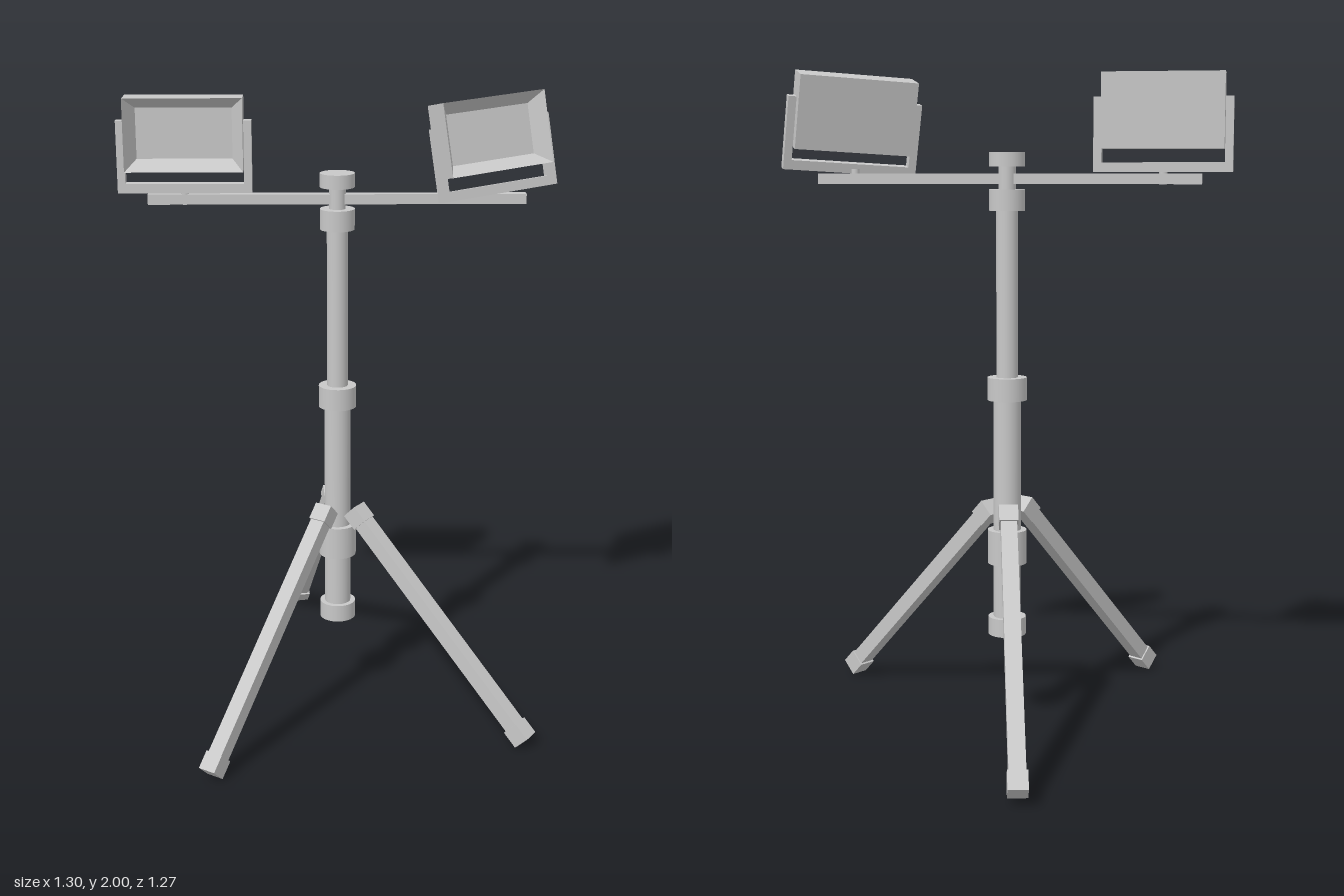
import * as THREE from 'three';

const rad = THREE.MathUtils.degToRad;
const POLE_X = -0.083, POLE_Z = -0.09;

export function createModel() {
  const model = new THREE.Group();
  model.name = 'workLightTripod';
  const grey = new THREE.MeshStandardMaterial({ color: 0xc8c8c8 });
  grey.name = 'light grey metal';

  function add(parent, name, geometry, x = 0, y = 0, z = 0) {
    const mesh = new THREE.Mesh(geometry, grey);
    mesh.name = name;
    mesh.position.set(x, y, z);
    parent.add(mesh);
    return mesh;
  }
  const box = (w, h, d) => new THREE.BoxGeometry(w, h, d);

  // Everything on the stand is placed around the pole axis
  const stand = new THREE.Group();
  stand.name = 'stand';
  stand.position.set(POLE_X, 0, POLE_Z);
  model.add(stand);

  // Telescopic pole and its collars: name, radius, bottom, top
  const poleParts = [
    ['bottomCap', 0.058, 0.28, 0.336],
    ['lowerPole', 0.042, 0.33, 1.02],
    ['legCollar', 0.06, 0.505, 0.61],
    ['lockCollar', 0.06, 1.013, 1.083],
    ['upperPole', 0.033, 1.08, 1.59],
    ['upperCollar', 0.054, 1.586, 1.65],
    ['neck', 0.026, 1.645, 1.725],
    ['topCap', 0.054, 1.717, 1.76],
  ];
  for (const [name, r, y0, y1] of poleParts) {
    add(stand, name, new THREE.CylinderGeometry(r, r, y1 - y0, 28), 0, (y0 + y1) / 2, 0);
  }

  // Legs: heading about y, hinge radius and height, foot radius and height
  const legs = [
    ['leftLeg', 0, 0.083, 0.652, 0.688, 0.045],
    ['frontLeg', -90, 0.083, 0.662, 0.688, 0.049],
    ['backRightLeg', 135, 0.095, 0.668, 0.69, 0.06],
  ];
  for (const [name, heading, r0, y0, r1, y1] of legs) {
    const turn = new THREE.Group();
    turn.name = name;
    turn.rotation.y = rad(heading);
    stand.add(turn);
    const leg = new THREE.Group();
    leg.name = name + 'Slope';
    leg.position.set(r0, y0, 0);
    leg.rotation.z = Math.atan2(y1 - y0, r1 - r0);
    turn.add(leg);
    const length = Math.hypot(r1 - r0, y1 - y0);
    add(leg, 'legHinge', box(0.056, 0.056, 0.058));
    add(leg, 'legTube', box(length, 0.047, 0.049), length / 2);
    add(leg, 'foot', box(0.058, 0.058, 0.058), length);
  }

  // Crossbar through the neck
  const crossbar = new THREE.Group();
  crossbar.name = 'crossbar';
  crossbar.rotation.y = rad(33.6);
  stand.add(crossbar);
  add(crossbar, 'bar', box(1.16, 0.031, 0.03), 0, 1.681, 0);
  for (const s of [-1, 1]) {
    add(crossbar, 'bolt', new THREE.CylinderGeometry(0.012, 0.012, 0.045, 12), s * 0.466, 1.687, 0);
  }

  // Lamp housing: rectangular rings from the back, round the rim, into the recess
  function housingGeometry() {
    const rings = [
      [0.18, 0.111, -0.0465],
      [0.18, 0.111, 0.0465],
      [0.146, 0.077, -0.004],
    ].map(([w, h, z]) => [[-w, -h, z], [w, -h, z], [w, h, z], [-w, h, z]]);
    const pos = [];
    const quad = (a, b, c, d) => pos.push(...a, ...b, ...c, ...a, ...c, ...d);
    for (let i = 0; i < 2; i++) {
      for (let k = 0; k < 4; k++) {
        const n = (k + 1) % 4;
        quad(rings[i][k], rings[i][n], rings[i + 1][n], rings[i + 1][k]);
      }
    }
    quad(...rings[2]);
    quad(...[...rings[0]].reverse());
    const g = new THREE.BufferGeometry();
    g.setAttribute('position', new THREE.Float32BufferAttribute(pos, 3));
    g.computeVertexNormals();
    return g;
  }
  const housing = housingGeometry();

  // Lamp with its U bracket, centred on the housing
  function addLamp(name, x, y, z, heading, pitch, roll) {
    const lamp = new THREE.Group();
    lamp.name = name;
    lamp.position.set(x, y, z);
    lamp.rotation.set(rad(pitch), rad(heading), rad(roll), 'YXZ');
    model.add(lamp);
    add(lamp, 'lampHousing', housing);
    add(lamp, 'bracketBase', box(0.41, 0.029, 0.032), 0, -0.165, 0);
    for (const s of [-1, 1]) {
      add(lamp, 'bracketArm', box(0.024, 0.22, 0.032), s * 0.193, -0.0695, 0);
    }
  }
  addLamp('rightLamp', -0.471, 1.88, 0.166, 33.6, 0, 0);
  addLamp('leftLamp', 0.305, 1.876, -0.351, 60, -11.5, 3.5);

  return model;
}
